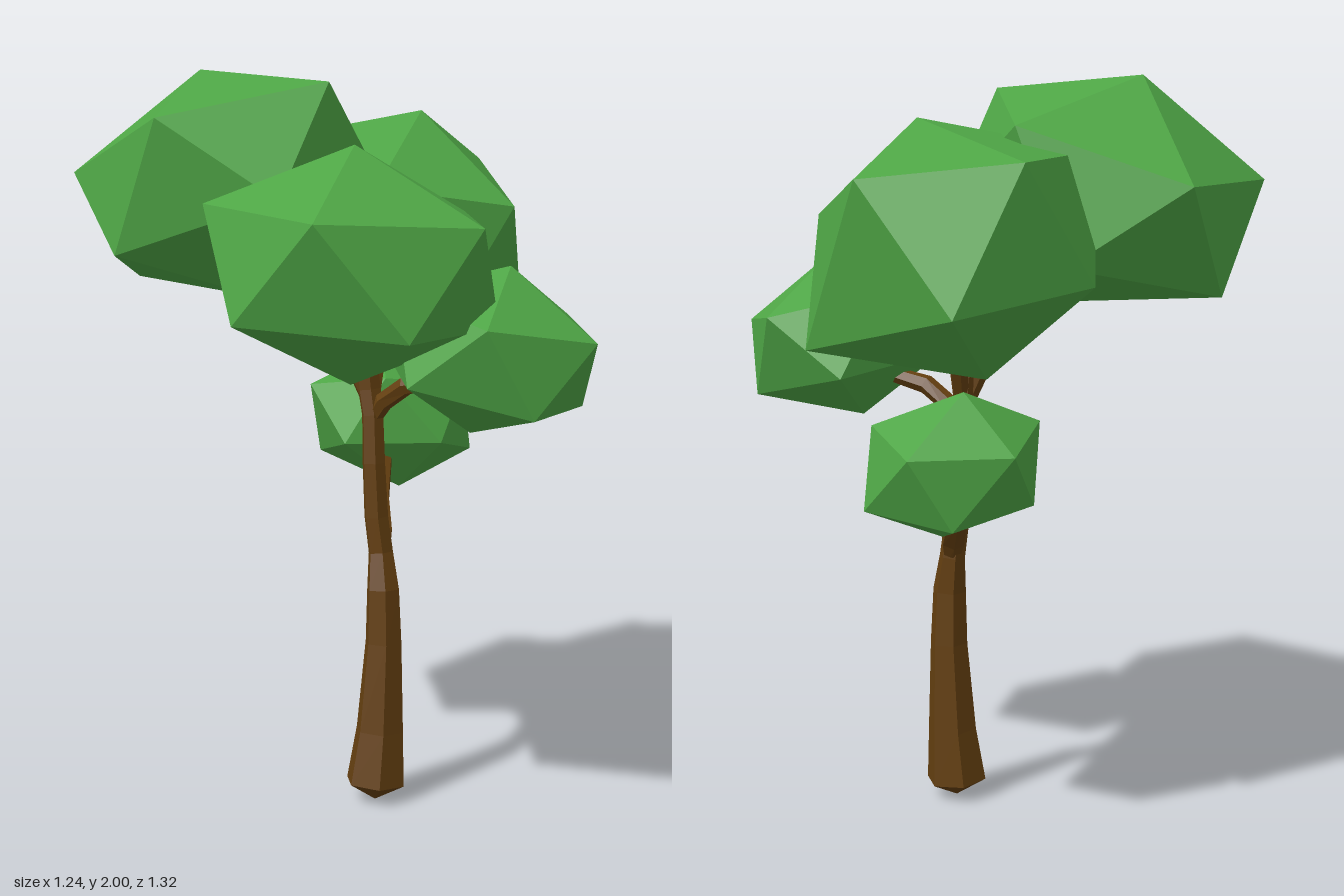
import * as THREE from 'three';
import { ConvexGeometry } from 'three/addons/geometries/ConvexGeometry.js';

const bark = new THREE.MeshStandardMaterial({ color: 0x643f10, flatShading: true });
bark.name = 'bark brown';
const leaf = new THREE.MeshStandardMaterial({ color: 0x4ea545, flatShading: true });
leaf.name = 'leaf green';

const vec = (a) => new THREE.Vector3(...a);

// Leaf clump: a stretched icosahedron, symmetric about its centre.
// Takes a tip and two neighbours on the ring below it; the rest of the ring
// follows from the pentagon rule. Six points are used as they are.
function clump(name, centre, points) {
  const c = vec(centre);
  const half = points.map((p) => vec(p).sub(c));
  if (half.length === 3) {
    const mid = half[0].clone().multiplyScalar(1 / Math.sqrt(5));
    const ring = [half[1].clone().sub(mid), half[2].clone().sub(mid)];
    for (let i = 2; i < 5; i++) {
      ring.push(ring[i - 1].clone().multiplyScalar(0.618034).sub(ring[i - 2]));
      half.push(ring[i].clone().add(mid));
    }
  }
  const all = half.flatMap((p) => [p, p.clone().negate()]);
  const mesh = new THREE.Mesh(new ConvexGeometry(all), leaf);
  mesh.position.copy(c);
  mesh.name = name;
  return mesh;
}

// Limb: rings set across a path of [x, y, z, radius] stations.
function limb(name, stations, sides = 6) {
  const path = stations.map(([x, y, z]) => new THREE.Vector3(x, y, z));
  const positions = [];
  const index = [];
  stations.forEach((s, i) => {
    const before = path[Math.max(i - 1, 0)];
    const after = path[Math.min(i + 1, path.length - 1)];
    const t = after.clone().sub(before).normalize();
    const u = new THREE.Vector3(1, 0, 0).addScaledVector(t, -t.x).normalize();
    const v = t.clone().cross(u);
    for (let j = 0; j < sides; j++) {
      const a = (j / sides) * Math.PI * 2;
      const p = path[i].clone()
        .addScaledVector(u, Math.cos(a) * s[3])
        .addScaledVector(v, Math.sin(a) * s[3]);
      positions.push(p.x, p.y, p.z);
      if (i > 0) {
        const k = (j + 1) % sides;
        const lo = (i - 1) * sides;
        const hi = i * sides;
        index.push(lo + j, lo + k, hi + k, lo + j, hi + k, hi + j);
      }
    }
  });
  const geometry = new THREE.BufferGeometry();
  geometry.setAttribute('position', new THREE.Float32BufferAttribute(positions, 3));
  geometry.setIndex(index);
  geometry.computeVertexNormals();
  const mesh = new THREE.Mesh(geometry, bark);
  mesh.name = name;
  return mesh;
}

export function createModel() {
  const tree = new THREE.Group();
  tree.name = 'tree';

  // Trunk and branches
  const wood = new THREE.Group();
  wood.name = 'wood';
  wood.add(
    limb('trunk', [
      [0.005, 0, 0.07, 0], [0.008, 0.05, 0.068, 0.085], [0.022, 0.2, 0.07, 0.069],
      [0.035, 0.45, 0.069, 0.053], [0.036, 0.6, 0.065, 0.047], [0.042, 0.7, 0.047, 0.036],
      [0.033, 0.8, 0.038, 0.035], [0.028, 0.95, 0.033, 0.033], [0.03, 1.08, 0.025, 0.031],
      [0.03, 1.15, 0.01, 0.033], [0.02, 1.3, 0, 0.03], [0.02, 1.4, -0.01, 0],
    ]),
    limb('lowBranch', [
      [0.04, 0.68, 0.055, 0.02], [0.06, 0.75, 0.025, 0.034], [0.11, 0.83, -0.045, 0.029],
      [0.19, 0.92, -0.13, 0.026], [0.25, 0.99, -0.19, 0],
    ]),
    limb('frontBranch', [
      [0.03, 1.06, 0.02, 0.02], [0.04, 1.12, 0.06, 0.026], [0.06, 1.17, 0.13, 0.026],
      [0.09, 1.19, 0.22, 0.022], [0.12, 1.25, 0.34, 0],
    ]),
    limb('backBranch', [
      [0.03, 1.1, 0.02, 0.02], [0, 1.22, -0.02, 0.026], [-0.06, 1.4, -0.09, 0.024],
      [-0.16, 1.6, -0.2, 0],
    ]),
    limb('sideBranch', [
      [0.03, 1.1, 0.02, 0.02], [0.07, 1.22, -0.01, 0.026], [0.14, 1.38, -0.07, 0.024],
      [0.2, 1.5, -0.12, 0],
    ]),
  );
  tree.add(wood);

  // Foliage
  const foliage = new THREE.Group();
  foliage.name = 'foliage';
  foliage.add(
    clump('backClump', [-0.235, 1.7, -0.26],
      [[-0.26, 2, -0.36], [-0.14, 1.97, 0.06], [0.15, 1.87, -0.3]]),
    clump('frontClump', [-0.235, 1.52, 0.285],
      [[-0.24, 1.82, 0.3], [-0.11, 1.63, 0.64], [0.14, 1.64, 0.27]]),
    clump('sideClump', [0.235, 1.56, -0.16],
      [[0.28, 1.89, -0.08], [0.62, 1.745, -0.23], [0.35, 1.64, 0.23],
        [0.345, 1.785, -0.53], [0.578, 1.315, 0.01], [0.53, 1.42, -0.475]]),
    clump('smallFrontClump', [0.13, 1.29, 0.39],
      [[0.157, 1.51, 0.435], [0.255, 1.325, 0.655], [0.42, 1.36, 0.37]]),
    clump('lowClump', [0.28, 1.015, -0.21],
      [[0.29, 1.21, -0.26], [0.5, 1.06, -0.28], [0.275, 1.06, -0.43]]),
  );
  tree.add(foliage);
  return tree;
}
